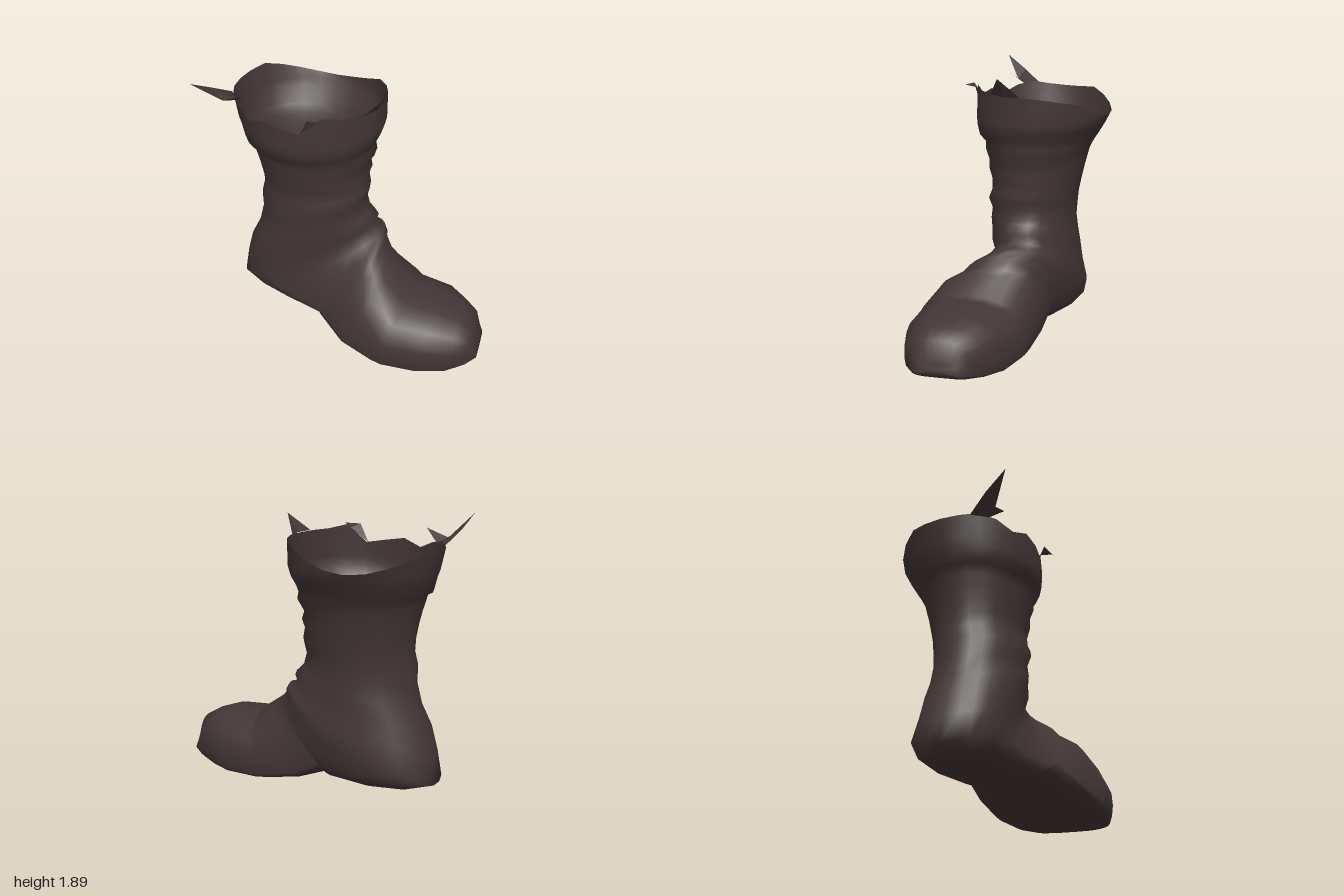
import * as THREE from 'three';

const COLS = 24;

// Each ring: back/sole point x, y | front/top point x, y | z min, z max | how flat-soled the section is (0..1)
const FOOT = [
  [1.00, 0.09, 0.98, 0.17, 0.03, 0.30, 1],
  [0.93, 0.05, 0.95, 0.32, -0.03, 0.37, 1],
  [0.80, 0.015, 0.86, 0.37, -0.11, 0.46, 1],
  [0.62, 0.0, 0.70, 0.42, -0.18, 0.535, 1],
  [0.38, 0.0, 0.47, 0.42, -0.225, 0.565, 1],
  [0.30, 0.01, 0.44, 0.45, -0.235, 0.56, 1],
  [0.05, 0.045, 0.30, 0.55, -0.245, 0.51, 0.95],
  [-0.19, 0.125, 0.25, 0.59, -0.255, 0.40, 0.75],
  [-0.21, 0.08, 0.21, 0.65, -0.275, 0.36, 0.7],
  [-0.50, 0.07, 0.19, 0.69, -0.34, 0.29, 0.75],
  [-0.75, 0.085, 0.16, 0.72, -0.375, 0.25, 0.65],
  [-0.915, 0.12, 0.09, 0.74, -0.375, 0.24, 0.35],
  [-0.885, 0.30, 0.12, 0.80, -0.36, 0.25, 0.2],
  [-0.84, 0.47, 0.06, 0.86, -0.35, 0.26, 0.1],
];
const SHAFT = [
  [-0.77, 0.62, 0.05, 0.90, -0.35, 0.26, 0],
  [-0.735, 0.76, 0.035, 0.95, -0.34, 0.25, 0],
  [-0.73, 0.90, 0.05, 1.00, -0.35, 0.275, 0],
  [-0.715, 0.99, 0.055, 1.06, -0.36, 0.245, 0],
  [-0.72, 1.08, 0.04, 1.13, -0.375, 0.25, 0],
  [-0.74, 1.19, 0.06, 1.19, -0.395, 0.27, 0],
  [-0.76, 1.27, 0.04, 1.25, -0.41, 0.28, 0],
  [-0.78, 1.33, 0.09, 1.33, -0.43, 0.295, 0],
  [-0.80, 1.40, 0.075, 1.38, -0.46, 0.305, 0],
];
const CUFF = [
  [-0.83, 1.41, 0.10, 1.44, -0.48, 0.35, 0],
  [-0.855, 1.50, 0.13, 1.51, -0.53, 0.365, 0],
  [-0.875, 1.55, 0.14, 1.56, -0.555, 0.37, 0],
  [-0.91, 1.69, 0.14, 1.75, -0.57, 0.365, 0],
];
// Torn rim height for every column, starting at the toe side and turning towards +z
const RIM = [1.75, 1.75, 1.755, 1.76, 1.785, 1.66, 1.68, 1.70, 1.65, 1.70, 1.72, 1.70,
  1.69, 1.69, 1.70, 1.66, 1.62, 1.59, 1.58, 1.60, 1.64, 1.70, 1.72, 1.74];

// Point on a ring: blends an ellipse with a flat-bottomed D section
function ringPoint([bx, by, tx, ty, z0, z1, flat], j) {
  const a = (j / COLS) * Math.PI * 2;
  const c = Math.cos(a), s = Math.sin(a);
  const mag = Math.abs(s), side = Math.sign(s);
  const dU = c < 0 ? 0.3 * (1 - Math.pow(-c, 0.35)) : 0.3 + 0.7 * Math.pow(c, 0.85);
  const dW = side * Math.pow(mag, c < 0 ? 0.45 : 0.88);
  const u = THREE.MathUtils.lerp((1 + c) / 2, dU, flat);
  const w = THREE.MathUtils.lerp(s, dW, flat);
  const z = (z0 + z1) / 2 + (w * (z1 - z0)) / 2;
  return [bx + (tx - bx) * u, by + (ty - by) * u, z];
}

// Whole boot skin, so that normals run smoothly from part to part
function buildSkin(rings) {
  const pos = [];
  rings.forEach((ring, i) => {
    for (let j = 0; j < COLS; j++) {
      const p = ringPoint(ring, j);
      if (i === rings.length - 1) p[1] = RIM[j];
      if (i < 3) p[0] += 0.12 * (p[2] - 0.28); // slanted toe end
      pos.push(...p);
    }
  });
  const tip = pos.length / 3;
  pos.push(0.98, 0.13, 0.17);
  const index = [];
  for (let j = 0; j < COLS; j++) index.push(tip, j, (j + 1) % COLS);
  for (let i = 0; i < rings.length - 1; i++) {
    for (let j = 0; j < COLS; j++) {
      const a = i * COLS + j, b = i * COLS + ((j + 1) % COLS);
      index.push(a, a + COLS, b, b, a + COLS, b + COLS);
    }
  }
  const geo = new THREE.BufferGeometry();
  geo.setAttribute('position', new THREE.Float32BufferAttribute(pos, 3));
  geo.setIndex(index);
  geo.computeVertexNormals();
  return { geo, index };
}

export function createModel() {
  const boot = new THREE.Group();
  boot.name = 'boot';
  const leather = new THREE.MeshStandardMaterial({ color: 0x433636, side: THREE.DoubleSide });
  leather.name = 'dark brown leather';

  const add = (name, geo) => {
    const mesh = new THREE.Mesh(geo, leather);
    mesh.name = name;
    boot.add(mesh);
  };

  // Foot, shaft and cuff share the skin's vertices
  const { geo, index } = buildSkin([...FOOT, ...SHAFT, ...CUFF]);
  const cut = (rings) => COLS * 3 + rings * COLS * 6;
  const footEnd = cut(FOOT.length), shaftEnd = cut(FOOT.length + SHAFT.length);
  const slice = (from, to) => {
    const part = new THREE.BufferGeometry();
    part.setAttribute('position', geo.attributes.position);
    part.setAttribute('normal', geo.attributes.normal);
    part.setIndex(index.slice(from, to));
    return part;
  };
  add('foot', slice(0, footEnd));
  add('shaft', slice(footEnd, shaftEnd));
  add('cuff', slice(shaftEnd));

  // Ragged scraps of leather standing up from the rim
  const scrap = (name, ...points) => {
    const g = new THREE.BufferGeometry();
    g.setAttribute('position', new THREE.Float32BufferAttribute(points.flat(), 3));
    g.computeVertexNormals();
    add(name, g);
  };
  const base = [-0.87, 1.70, 0.09], notch = [-0.79, 1.70, 0.18];
  const bend = [-0.945, 1.79, 0.23], fold = [-0.85, 1.73, 0.26];
  scrap('longScrap', base, notch, bend, notch, fold, bend, bend, fold, [-1, 1.89, 0.39]);
  scrap('sideScrap', notch, fold, [-0.70, 1.79, 0.26]);
  const spike = [0.22, 1.88, 0.035];
  scrap('toeSideScrap', [0.09, 1.755, 0.13], [0.14, 1.75, 0.02], spike,
    [0.14, 1.75, 0.02], [0.13, 1.74, -0.10], spike);
  scrap('frontScrap', [-0.26, 1.66, 0.35], [-0.14, 1.76, 0.31], [-0.20, 1.785, 0.36],
    [-0.20, 1.785, 0.36], [-0.14, 1.76, 0.31], [-0.08, 1.785, 0.38]);

  return boot;
}
